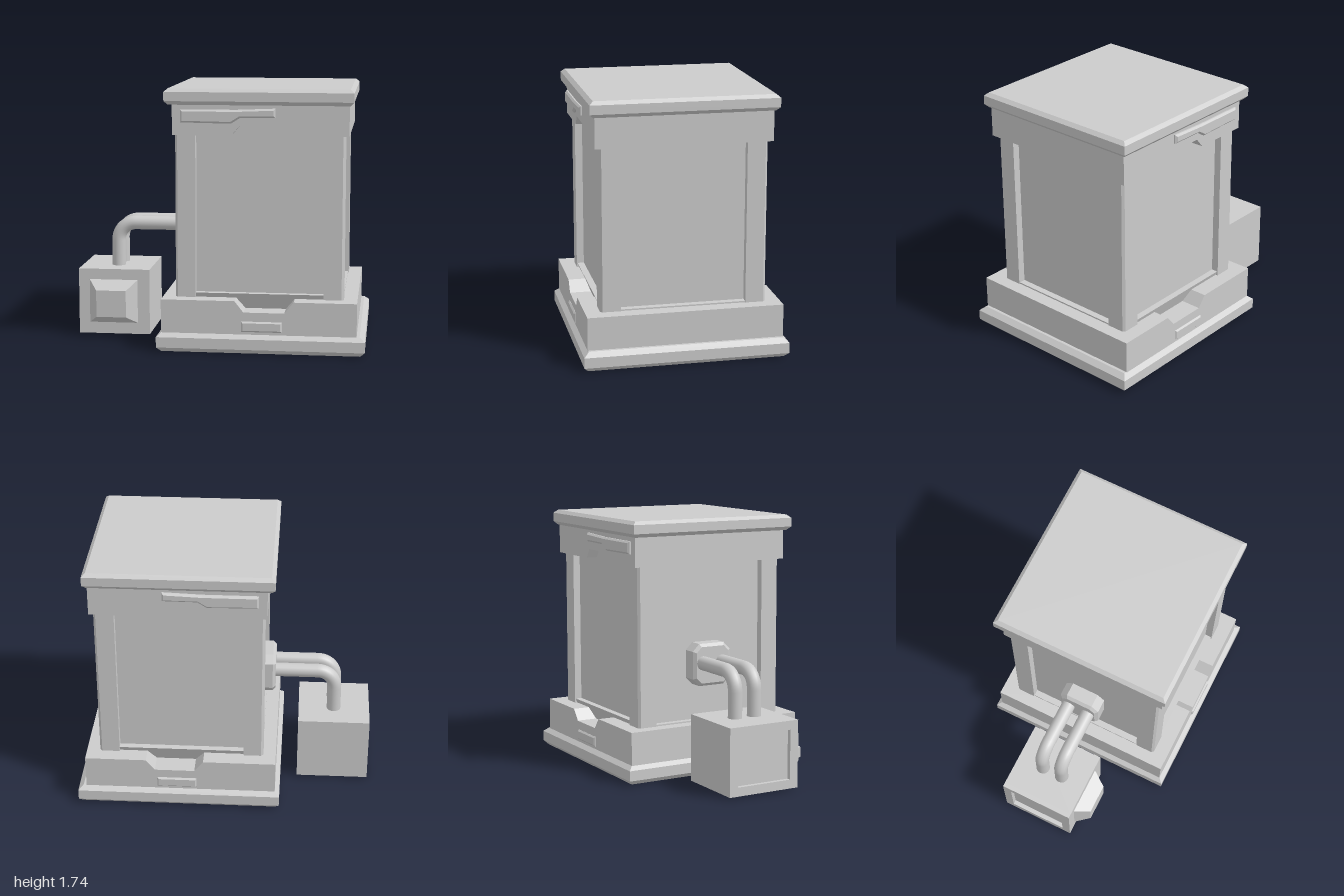
import * as THREE from 'three';

const flat = new THREE.MeshStandardMaterial({ color: 0xcccccc, flatShading: true });
const smooth = new THREE.MeshStandardMaterial({ color: 0xcccccc });

function add(group, name, geometry, x = 0, y = 0, z = 0, material = flat) {
  const mesh = new THREE.Mesh(geometry, material);
  mesh.name = name;
  mesh.position.set(x, y, z);
  group.add(mesh);
  return mesh;
}

const shapeOf = (pts) => new THREE.Shape(pts.map(([x, y]) => new THREE.Vector2(x, y)));

const rectangle = (x0, y0, x1, y1) => [[x0, y0], [x1, y0], [x1, y1], [x0, y1]];

// Closed four-sided solid from [half width, height] rings; kx and kz stretch the plan
function slab(rings, kx = 1, kz = 1) {
  const pts = [[0, rings[0][1]], ...rings, [0, rings.at(-1)[1]]]
    .map(([r, y]) => new THREE.Vector2(r * Math.SQRT2, y));
  return new THREE.LatheGeometry(pts, 4, Math.PI / 4).scale(kx, 1, kz);
}

// Front outline carried through the whole depth, so front and back match
function through(pts, halfDepth, bevel = 0) {
  const g = new THREE.ExtrudeGeometry(shapeOf(pts), {
    depth: 2 * (halfDepth - bevel), bevelEnabled: bevel > 0, bevelSegments: 1,
    bevelThickness: bevel, bevelSize: bevel, bevelOffset: -bevel,
  });
  return g.translate(0, 0, -(halfDepth - bevel));
}

// Outline in the z-y plane, extruded towards -x
function sideways(shape, depth, bevel = 0) {
  return new THREE.ExtrudeGeometry(shape, {
    depth: depth - bevel, bevelEnabled: bevel > 0, bevelSegments: 1,
    bevelThickness: bevel, bevelSize: bevel, bevelOffset: -bevel,
  }).rotateY(-Math.PI / 2);
}

function buildCabinet() {
  const g = new THREE.Group();
  g.name = 'cabinet';

  // Stepped base with a notch in front and back
  add(g, 'basePlinth', slab([[0.66, 0], [0.69, 0.03], [0.69, 0.1], [0.655, 0.13]], 1, 0.987), 0.3);
  add(g, 'baseBlock', through([
    [-0.36, 0.12], [0.935, 0.12], [0.935, 0.35], [0.52, 0.35], [0.46, 0.275],
    [0.19, 0.275], [0.13, 0.35], [-0.36, 0.35],
  ], 0.65));
  add(g, 'basePlates', through(rectangle(0.175, 0.145, 0.445, 0.215), 0.662, 0.01));

  // Recessed wall panels between corner posts
  add(g, 'wallPanels', new THREE.BoxGeometry(1.02, 1.4, 1.0), 0.285, 0.9);
  for (const sx of [-1, 1]) for (const sz of [-1, 1]) {
    const post = shapeOf([[0.425, 0.415], [0.56, 0.415], [0.56, 0.535], [0.545, 0.55], [0.425, 0.55]]
      .map(([x, z]) => [sx * x, -sz * z]));
    const geo = new THREE.ExtrudeGeometry(post, { depth: 1.3, bevelEnabled: false });
    add(g, 'cornerPost', geo.rotateX(-Math.PI / 2), 0.285, 0.25);
  }
  add(g, 'frontAndBackSills', slab([[0.5, 0.26], [0.545, 0.38]], 0.9, 1), 0.285);
  add(g, 'sideSills', new THREE.BoxGeometry(1.11, 0.12, 0.84), 0.285, 0.3);

  // Collar with notch and stepped trim
  add(g, 'collar', through([
    [-0.29, 1.435], [0.1, 1.435], [0.155, 1.5], [0.39, 1.5], [0.43, 1.435],
    [0.87, 1.435], [0.87, 1.645], [-0.29, 1.645],
  ], 0.58));
  add(g, 'collarTrim', through([
    [-0.235, 1.52], [0.1, 1.515], [0.16, 1.553], [0.39, 1.555],
    [0.39, 1.615], [0.13, 1.605], [-0.235, 1.605],
  ], 0.602, 0.012));

  // Chamfered lid
  add(g, 'lid', slab([[0.595, 1.635], [0.62, 1.66], [0.62, 1.72], [0.595, 1.742]], 1, 0.99), 0.28);
  return g;
}

function buildSideUnit() {
  const g = new THREE.Group();
  g.name = 'sideUnit';

  // Box with a framed recess on its outer side
  add(g, 'unitBox', new THREE.BoxGeometry(0.465, 0.455, 0.52), -0.7375, 0.2375, -0.02);
  const frame = shapeOf(rectangle(-0.28, 0.01, 0.24, 0.465));
  frame.holes.push(shapeOf(rectangle(-0.22, 0.07, 0.18, 0.405)));
  add(g, 'unitFrame', sideways(frame, 0.03), -0.97);

  // Tapered front boss
  add(g, 'frontBoss', slab([[0.168, 0], [0.103, 0.1]], 1, 0.9).rotateX(Math.PI / 2), -0.757, 0.24, 0.24);

  // Wall flange with cut corners
  const a = 0.145, b = 0.095;
  const flange = shapeOf([[-b, -a], [b, -a], [a, -b], [a, b], [b, a], [-b, a], [-a, b], [-a, -b]]);
  add(g, 'pipeFlange', sideways(flange, 0.12, 0.02), -0.22, 0.75, -0.015);

  // Twin elbow pipes
  for (const z of [-0.09, 0.057]) {
    const v = (x, y) => new THREE.Vector3(x, y, z);
    const path = new THREE.CurvePath();
    path.add(new THREE.LineCurve3(v(-0.3, 0.765), v(-0.63, 0.765)));
    path.add(new THREE.CubicBezierCurve3(v(-0.63, 0.765), v(-0.697, 0.765), v(-0.75, 0.712), v(-0.75, 0.645)));
    path.add(new THREE.LineCurve3(v(-0.75, 0.645), v(-0.75, 0.44)));
    add(g, 'pipe', new THREE.TubeGeometry(path, 40, 0.048, 16), 0, 0, 0, smooth);
  }
  return g;
}

export function createModel() {
  const model = new THREE.Group();
  model.name = 'cabinetWithSideUnit';
  model.add(buildCabinet(), buildSideUnit());
  return model;
}
